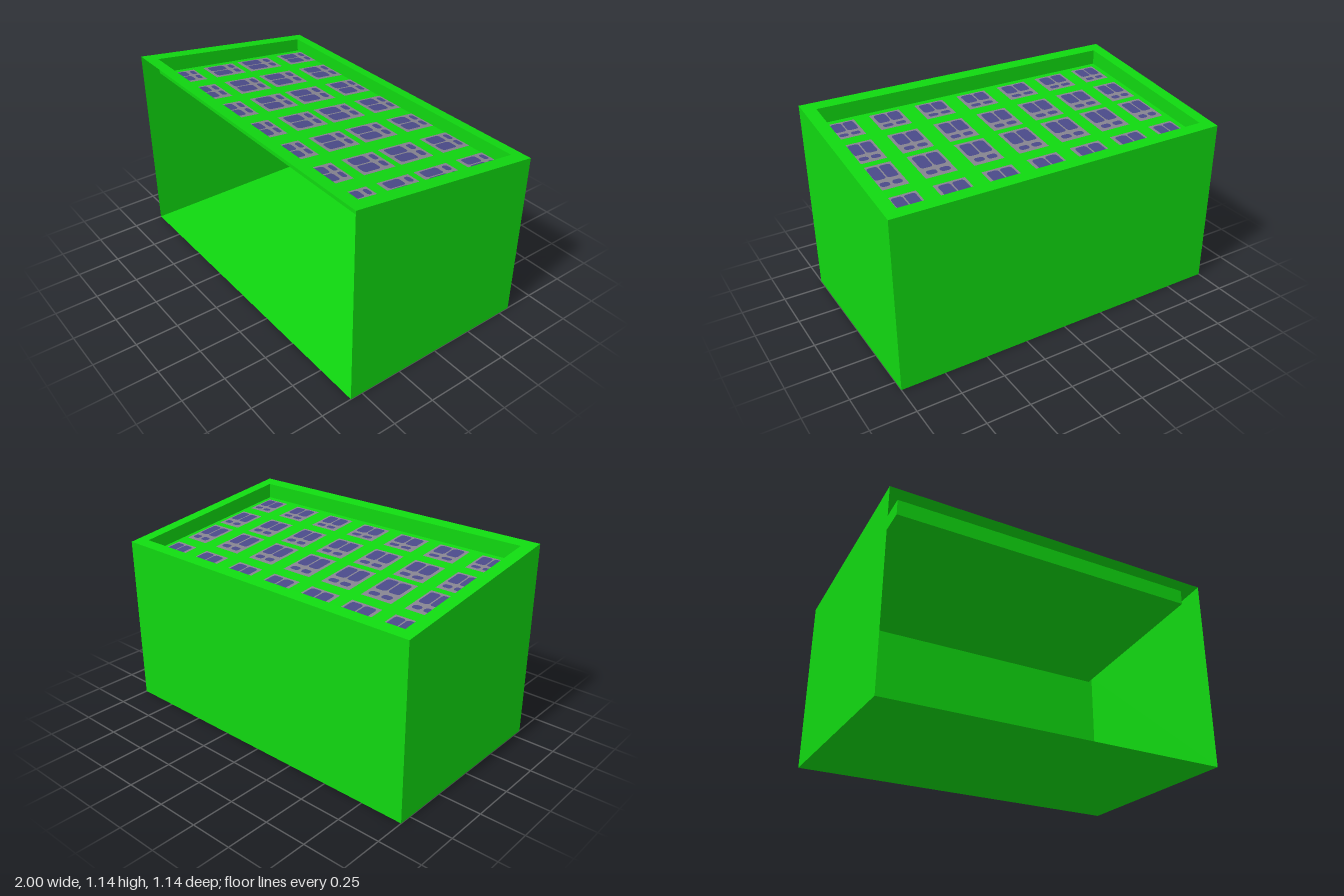
import * as THREE from 'three';

const W = 1, D = 0.571;                          // half width and half depth of the case
const IN = { x: 0.927, back: -0.504, front: 0.498 }; // tray opening

// Heights of the two sloping planes at a given z
const rimY = z => 1.067 + z * 0.1314;
const trayY = z => 0.983 + z * 0.1208;

export function createModel() {
  const paint = (name, color, side = THREE.FrontSide) => {
    const m = new THREE.MeshStandardMaterial({ color, side });
    m.name = name;
    return m;
  };
  const green = paint('bright green', 0x10d810, THREE.DoubleSide);
  const grey = paint('tile grey', 0x85838f);
  const blue = paint('slate blue', 0x4a4a88);

  const model = new THREE.Group();
  model.name = 'openFrontCase';

  const add = (parent, name, geometry, material) => {
    const mesh = new THREE.Mesh(geometry, material);
    mesh.name = name;
    parent.add(mesh);
    return mesh;
  };

  // Flat four-sided panel, corners counter-clockwise from outside
  const panel = (name, ...p) => {
    const g = new THREE.BufferGeometry();
    g.setAttribute('position', new THREE.Float32BufferAttribute(p.flat(), 3));
    g.setIndex([0, 1, 2, 0, 2, 3]);
    g.computeVertexNormals();
    return add(model, name, g, green);
  };

  // Shape drawn in x and -z, laid onto a sloping plane
  const layOn = (shape, height, lift = 0) => {
    const g = new THREE.ShapeGeometry(shape, 5).rotateX(-Math.PI / 2);
    const pos = g.attributes.position;
    for (let i = 0; i < pos.count; i++) pos.setY(i, height(pos.getZ(i)) + lift);
    g.computeVertexNormals();
    return g;
  };

  // Rectangle given by x and z ranges, with optional rounded corners
  const rect = (x0, x1, z0, z1, r = 0, Kind = THREE.Shape) => {
    const s = new Kind(), a = -z1, b = -z0, q = Math.PI / 2;
    if (!r) {
      s.moveTo(x0, a).lineTo(x1, a).lineTo(x1, b).lineTo(x0, b).closePath();
    } else {
      s.moveTo(x0 + r, a);
      s.absarc(x1 - r, a + r, r, -q, 0);
      s.absarc(x1 - r, b - r, r, 0, q);
      s.absarc(x0 + r, b - r, r, q, 2 * q);
      s.absarc(x0 + r, a + r, r, 2 * q, 3 * q);
    }
    return s;
  };

  // Case shell: floor, back and two sloping sides, front left open
  const yF = rimY(D), yB = rimY(-D);
  panel('caseFloor', [-W, 0, -D], [W, 0, -D], [W, 0, D], [-W, 0, D]);
  panel('backWall', [W, 0, -D], [-W, 0, -D], [-W, yB, -D], [W, yB, -D]);
  panel('leftWall', [W, 0, D], [W, 0, -D], [W, yB, -D], [W, yF, D]);
  panel('rightWall', [-W, 0, -D], [-W, 0, D], [-W, yF, D], [-W, yB, -D]);

  // Sloping rim around the tray opening
  const rim = rect(-W, W, -D, D);
  rim.holes.push(rect(-IN.x, IN.x, IN.back, IN.front, 0, THREE.Path));
  add(model, 'topRim', layOn(rim, rimY), green);

  // Recessed tray walls, facing inwards
  const trayWall = (name, xa, za, xb, zb) => panel(name,
    [xa, trayY(za), za], [xb, trayY(zb), zb], [xb, rimY(zb), zb], [xa, rimY(za), za]);
  trayWall('trayBackWall', -IN.x, IN.back, IN.x, IN.back);
  trayWall('trayFrontWall', IN.x, IN.front, -IN.x, IN.front);
  trayWall('trayLeftWall', IN.x, IN.back, IN.x, IN.front);
  trayWall('trayRightWall', -IN.x, IN.front, -IN.x, IN.back);
  add(model, 'trayFloor', layOn(rect(-IN.x, IN.x, IN.back, IN.front), trayY), green);

  // Four rows of seven tiles, each with two small and two large pads
  const columns = [[-0.89, -0.726], [-0.645, -0.452], [-0.373, -0.18], [-0.094, 0.094],
    [0.187, 0.367], [0.463, 0.645], [0.735, 0.896]];
  const rows = [[-0.502, -0.307], [-0.238, -0.013], [0.024, 0.228], [0.292, 0.463]];
  const pads = [['smallPad', 0.13, 0.45, 0.09, 0.26], ['largePad', 0.09, 0.475, 0.385, 0.91]];

  for (const [z0, z1] of rows) {
    for (const [x0, x1] of columns) {
      const tile = new THREE.Group();
      tile.name = 'tile';
      model.add(tile);
      add(tile, 'tilePlate', layOn(rect(x0, x1, z0, z1), trayY, 0.003), grey);
      const w = x1 - x0, d = z1 - z0;
      for (const [name, u0, u1, v0, v1] of pads) {
        const r = Math.min((u1 - u0) * w, (v1 - v0) * d) * (name === 'smallPad' ? 0.45 : 0.25);
        for (const [a, b] of [[u0, u1], [1 - u1, 1 - u0]]) {
          const pad = rect(x0 + a * w, x0 + b * w, z0 + v0 * d, z0 + v1 * d, r);
          add(tile, name, layOn(pad, trayY, 0.006), blue);
        }
      }
    }
  }
  return model;
}
